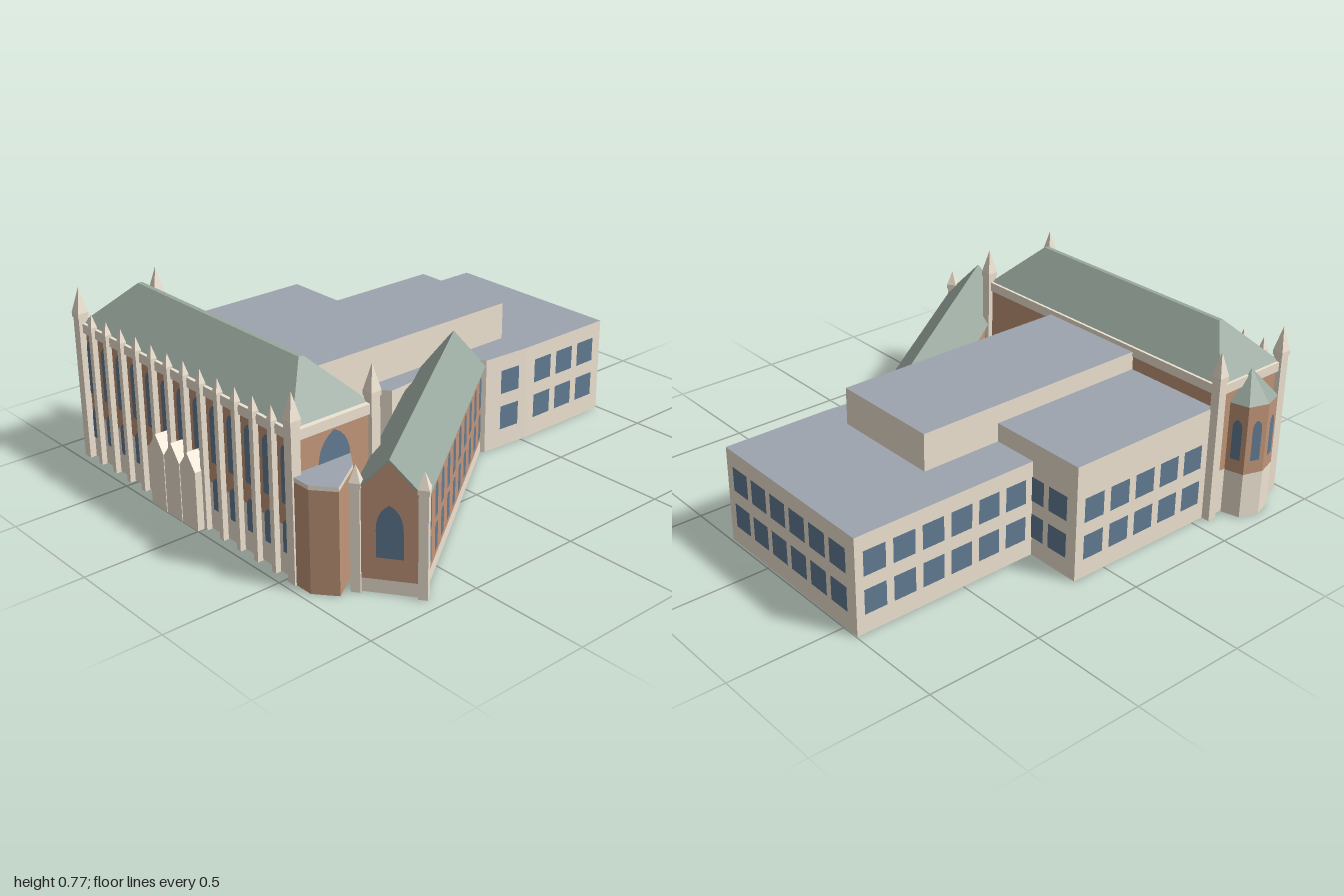
import * as THREE from 'three';

const mat = (color) => new THREE.MeshStandardMaterial({ color, flatShading: true, side: THREE.DoubleSide });
const BRICK = mat(0xc2967a), STONE = mat(0xefe4d3), GREEN = mat(0x98a79d), SLATE = mat(0x9ca4af), GLASS = mat(0x627b92);

function add(parent, name, geometry, material) {
  const mesh = new THREE.Mesh(geometry, material);
  mesh.name = name;
  parent.add(mesh);
}

// Surface from corner points and four-cornered faces
function quadSurface(parent, name, material, points, quads) {
  const g = new THREE.BufferGeometry();
  g.setAttribute('position', new THREE.Float32BufferAttribute(points.flat(), 3));
  g.setIndex(quads.flatMap(([a, b, c, d]) => [a, b, c, a, c, d]));
  g.computeVertexNormals();
  add(parent, name, g, material);
}

// Box given by its extents
function block(parent, name, material, x0, x1, y0, y1, z0, z1) {
  const g = new THREE.BoxGeometry(x1 - x0, y1 - y0, z1 - z0);
  add(parent, name, g.translate((x0 + x1) / 2, (y0 + y1) / 2, (z0 + z1) / 2), material);
}

// Walls standing on a closed plan outline of [x, z] points, open above and below
function walls(parent, name, material, plan, y0, y1) {
  const n = plan.length;
  const points = plan.flatMap(([x, z]) => [[x, y0, z], [x, y1, z]]);
  const quads = plan.map((_, i) => [2 * i, 2 * i + 1, (2 * i + 3) % (2 * n), (2 * i + 2) % (2 * n)]);
  quadSurface(parent, name, material, points, quads);
}

// Flat roof over a plan outline
function flatRoof(parent, name, material, plan, y) {
  const shape = new THREE.Shape(plan.map(([x, z]) => new THREE.Vector2(x, -z)));
  add(parent, name, new THREE.ShapeGeometry(shape).rotateX(-Math.PI / 2).translate(0, y, 0), material);
}

const rect = (x0, x1, z0, z1) => [[x0, z1], [x1, z1], [x1, z0], [x0, z0]];

// Section of [z, y] points drawn out along x
function sectionX(parent, name, material, section, x0, x1) {
  const shape = new THREE.Shape(section.map(([z, y]) => new THREE.Vector2(-z, y)));
  const g = new THREE.ExtrudeGeometry(shape, { depth: x1 - x0, bevelEnabled: false });
  add(parent, name, g.rotateY(Math.PI / 2).translate(x0, 0, 0), material);
}

// Square shaft with a pointed cap
function pinnacle(parent, x, z, size, shaft, tip) {
  const p = new THREE.Group();
  p.name = 'pinnacle';
  p.position.set(x, 0, z);
  const s = size / 2;
  block(p, 'shaft', STONE, -s * 0.85, s * 0.85, 0, shaft, -s * 0.85, s * 0.85);
  block(p, 'collar', STONE, -s, s, shaft - 0.02, shaft, -s, s);
  const cap = new THREE.ConeGeometry(s * Math.SQRT2, tip - shaft, 4).rotateY(Math.PI / 4);
  add(p, 'cap', cap.translate(0, (tip + shaft) / 2, 0), STONE);
  parent.add(p);
}

// Wall frame: local x runs from a to b, local z points outwards
function facade(parent, a, b) {
  const f = new THREE.Group();
  f.name = 'windows';
  f.position.set(a[0], 0, a[1]);
  f.rotation.y = Math.atan2(a[1] - b[1], b[0] - a[0]);
  parent.add(f);
  return f;
}

// Window panel, square-headed or with an arched head
function pane(parent, x, y0, y1, w, arch = 0) {
  const s = new THREE.Shape();
  s.moveTo(-w / 2, y0);
  s.lineTo(w / 2, y0);
  s.lineTo(w / 2, y1 - arch);
  if (arch) {
    s.quadraticCurveTo(w / 2, y1 - arch * 0.25, 0, y1);
    s.quadraticCurveTo(-w / 2, y1 - arch * 0.25, -w / 2, y1 - arch);
  } else {
    s.lineTo(-w / 2, y1);
  }
  add(parent, 'window', new THREE.ShapeGeometry(s, 5).translate(x, 0, 0.003), GLASS);
}

// Two rows of square windows at the given distances along a wall
function officeWindows(parent, a, b, spots) {
  const f = facade(parent, a, b);
  for (const x of spots) for (const y of [0.083, 0.247]) pane(f, x, y, y + 0.106, 0.1);
}

const series = (n, start, step) => Array.from({ length: n }, (_, i) => start + i * step);

// Hipped roof with a narrow flat ridge
function hipRoof(parent, x0, x1, z0, z1, y0, y1, r0, r1) {
  const m = (x0 + x1) / 2, w = 0.01;
  const points = [[x0, y0, z0], [x1, y0, z0], [x1, y0, z1], [x0, y0, z1], [m - w, y1, r0], [m + w, y1, r0], [m + w, y1, r1], [m - w, y1, r1]];
  quadSurface(parent, 'hallRoof', GREEN, points, [[0, 4, 5, 1], [1, 5, 6, 2], [2, 6, 7, 3], [3, 7, 4, 0], [4, 7, 6, 5]]);
}

function buildHall() {
  const hall = new THREE.Group();
  hall.name = 'mainHall';
  const plan = rect(-0.942, -0.583, -0.837, 0.537);
  walls(hall, 'base', STONE, plan, 0, 0.2);
  walls(hall, 'brickWalls', BRICK, plan, 0.2, 0.56);
  const rim = rect(-0.955, -0.575, -0.85, 0.547);
  walls(hall, 'parapet', STONE, rim, 0.56, 0.6);
  flatRoof(hall, 'parapetTop', STONE, rim, 0.6);
  hipRoof(hall, -0.941, -0.587, -0.838, 0.525, 0.6, 0.772, -0.67, 0.36);
  for (const x of [-0.95, -0.582]) for (const z of [-0.84, 0.535]) pinnacle(hall, x, z, 0.048, 0.645, 0.75);
  for (const z of series(12, -0.74, 0.1065)) pinnacle(hall, -0.958, z, 0.028, 0.61, 0.665);

  // Long side windows between the buttresses
  const side = facade(hall, [-0.942, 0], [-0.942, 1]);
  for (const z of series(13, -0.793, 0.1065)) {
    pane(side, z, 0.29, 0.53, 0.05, 0.05);
    pane(side, z, 0.09, 0.23, 0.05, 0.04);
  }
  pane(facade(hall, [-0.765, 0.537], [0, 0.537]), 0, 0.25, 0.55, 0.15, 0.14);

  // Gabled porch
  for (const z of [-0.26, -0.155, -0.05]) {
    sectionX(hall, 'porchGable', STONE, [[z - 0.05, 0], [z + 0.05, 0], [z + 0.05, 0.25], [z, 0.318], [z - 0.05, 0.25]], -1, -0.94);
  }

  // Many-sided apse with a pointed roof
  const cx = -0.765;
  const apse = [[0.107, -0.84], [0.086, -0.92], [0, -0.948], [-0.086, -0.92], [-0.107, -0.84]].map(([x, z]) => [cx + x, z]);
  walls(hall, 'apseBase', STONE, apse, 0, 0.2);
  walls(hall, 'apseWall', BRICK, apse, 0.2, 0.505);
  const points = apse.map(([x, z]) => [x, 0.505, z]).concat([[cx, 0.625, -0.845]]);
  quadSurface(hall, 'apseRoof', GREEN, points, series(4, 0, 1).map((i) => [i, i + 1, 5, 5]));
  for (let i = 0; i < 4; i++) {
    const [a, b] = [apse[i], apse[i + 1]];
    pane(facade(hall, a, b), Math.hypot(a[0] - b[0], a[1] - b[1]) / 2, 0.26, 0.44, 0.042, 0.04);
  }

  // Low corner bay
  const bay = [[-0.963, 0.537], [-0.963, 0.635], [-0.895, 0.717], [-0.743, 0.615], [-0.69, 0.537]];
  walls(hall, 'bayWall', BRICK, bay, 0, 0.415);
  walls(hall, 'bayTrim', STONE, bay, 0.415, 0.432);
  flatRoof(hall, 'bayRoof', SLATE, bay, 0.432);
  return hall;
}

function buildWing() {
  const wing = new THREE.Group(), L = 1.208, h = 0.122;
  wing.name = 'angledWing';
  wing.position.set(-0.765, 0, 0.83);
  wing.rotation.y = Math.atan2(0.579, 0.815);
  const plan = rect(0.012, L - 0.004, -h, h);
  walls(wing, 'base', STONE, plan, 0, 0.055);
  walls(wing, 'brickWalls', BRICK, plan, 0.055, 0.41);
  for (const x of [0.012, L - 0.008]) sectionX(wing, 'gable', BRICK, [[h, 0.4], [0, 0.525], [-h, 0.4]], x, x + 0.004);
  sectionX(wing, 'roof', GREEN, [[-0.136, 0.395], [0, 0.538], [0.136, 0.395], [0.126, 0.395], [0, 0.528], [-0.126, 0.395]], 0, L);
  for (const s of [-1, 1]) pinnacle(wing, 0.015, s * h, 0.042, 0.435, 0.5);

  // Ten bays of arched windows on both long sides
  const outer = facade(wing, [0, h], [L, h]), inner = facade(wing, [L, -h], [0, -h]);
  for (const x of series(10, 0.103, 0.1167)) {
    for (const [f, t] of [[outer, x], [inner, L - x]]) {
      pane(f, t, 0.22, 0.36, 0.052, 0.04);
      pane(f, t, 0.085, 0.195, 0.052, 0.015);
    }
  }
  pane(facade(wing, [0.012, 0], [0.012, 1]), 0, 0.145, 0.355, 0.1, 0.1);
  return wing;
}

function buildOffices() {
  const offices = new THREE.Group();
  offices.name = 'flatRoofedBlocks';
  const parts = [
    ['backBlock', 0.5, rect(-0.58, 0.155, -0.823, -0.375)],
    ['raisedBlock', 0.58, rect(-0.58, 0.52, -0.375, 0.117)],
    ['sideBlock', 0.42, [[0.155, -0.578], [0.996, -0.578], [0.99, 0.265], [0.52, 0.265], [0.295, 0.25], [0.19, 0.117], [0.155, 0.117]]],
    ['link', 0.42, [[-0.265, 0.117], [-0.2, 0.215], [-0.05, 0.2], [0.06, 0.117]]],
  ];
  for (const [name, top, plan] of parts) {
    walls(offices, name, STONE, plan, 0, top);
    flatRoof(offices, name + 'Roof', SLATE, plan, top);
  }
  officeWindows(offices, [0.295, 0.25], [0.52, 0.265], [0.132]);
  officeWindows(offices, [0.52, 0.265], [0.99, 0.265], series(3, 0.1, 0.135));
  officeWindows(offices, [0.99, 0.265], [0.996, -0.578], series(6, 0.095, 0.129));
  officeWindows(offices, [0.996, -0.578], [0.155, -0.578], series(6, 0.085, 0.134));
  officeWindows(offices, [0.155, -0.578], [0.155, -0.823], [0.017, 0.145]);
  officeWindows(offices, [0.155, -0.823], [-0.58, -0.823], series(5, 0.09, 0.135));
  return offices;
}

export function createModel() {
  const model = new THREE.Group();
  model.name = 'collegeBuilding';
  model.add(buildHall(), buildWing(), buildOffices());
  return model;
}
